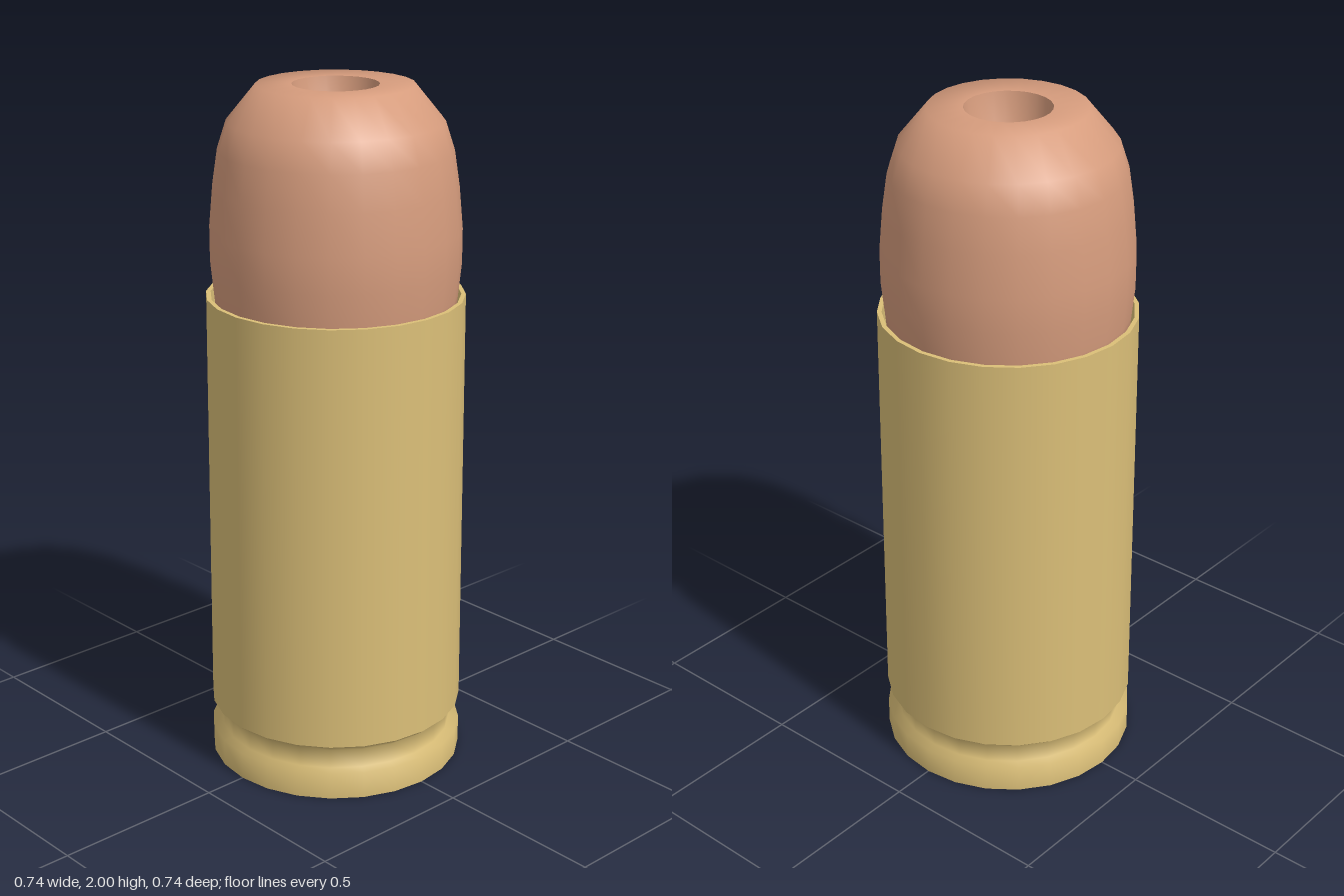
import * as THREE from 'three';

const SIDES = 24;

// Revolves a list of [radius, height] points, ordered so faces point outward
function turned(name, points, material) {
  const profile = points.map(([r, y]) => new THREE.Vector2(r, y));
  const mesh = new THREE.Mesh(new THREE.LatheGeometry(profile, SIDES), material);
  mesh.name = name;
  return mesh;
}

export function createModel() {
  const brass = new THREE.MeshStandardMaterial({ color: 0xdbbf78 });
  brass.name = 'brass';
  const copper = new THREE.MeshStandardMaterial({ color: 0xd69c7d });
  copper.name = 'copper';

  const group = new THREE.Group();
  group.name = 'cartridge';

  // Flat underside
  group.add(turned('base', [[0, 0], [0.372, 0]], brass));

  // Rim and extractor groove
  group.add(turned('rim', [
    [0.372, 0], [0.372, 0.08], [0.342, 0.083], [0.342, 0.14], [0.372, 0.165],
  ], brass));

  // Slightly tapered case wall
  group.add(turned('caseWall', [[0.372, 0.165], [0.367, 1.41]], brass));

  // Mouth edge and inner wall
  group.add(turned('caseMouth', [[0.367, 1.41], [0.354, 1.41]], brass));
  group.add(turned('caseInnerWall', [[0.354, 1.41], [0.344, 1.3]], brass));

  // Rounded bullet with a flat nose
  group.add(turned('bullet', [
    [0, 1.3], [0.335, 1.3], [0.345, 1.41], [0.354, 1.5], [0.354, 1.6],
    [0.343, 1.72], [0.328, 1.82], [0.302, 1.9], [0.22, 2], [0.121, 2],
  ], copper));

  // Hollow point cavity
  group.add(turned('cavity', [
    [0.121, 2], [0.108, 1.92], [0.08, 1.84], [0.04, 1.8], [0, 1.79],
  ], copper));

  return group;
}
